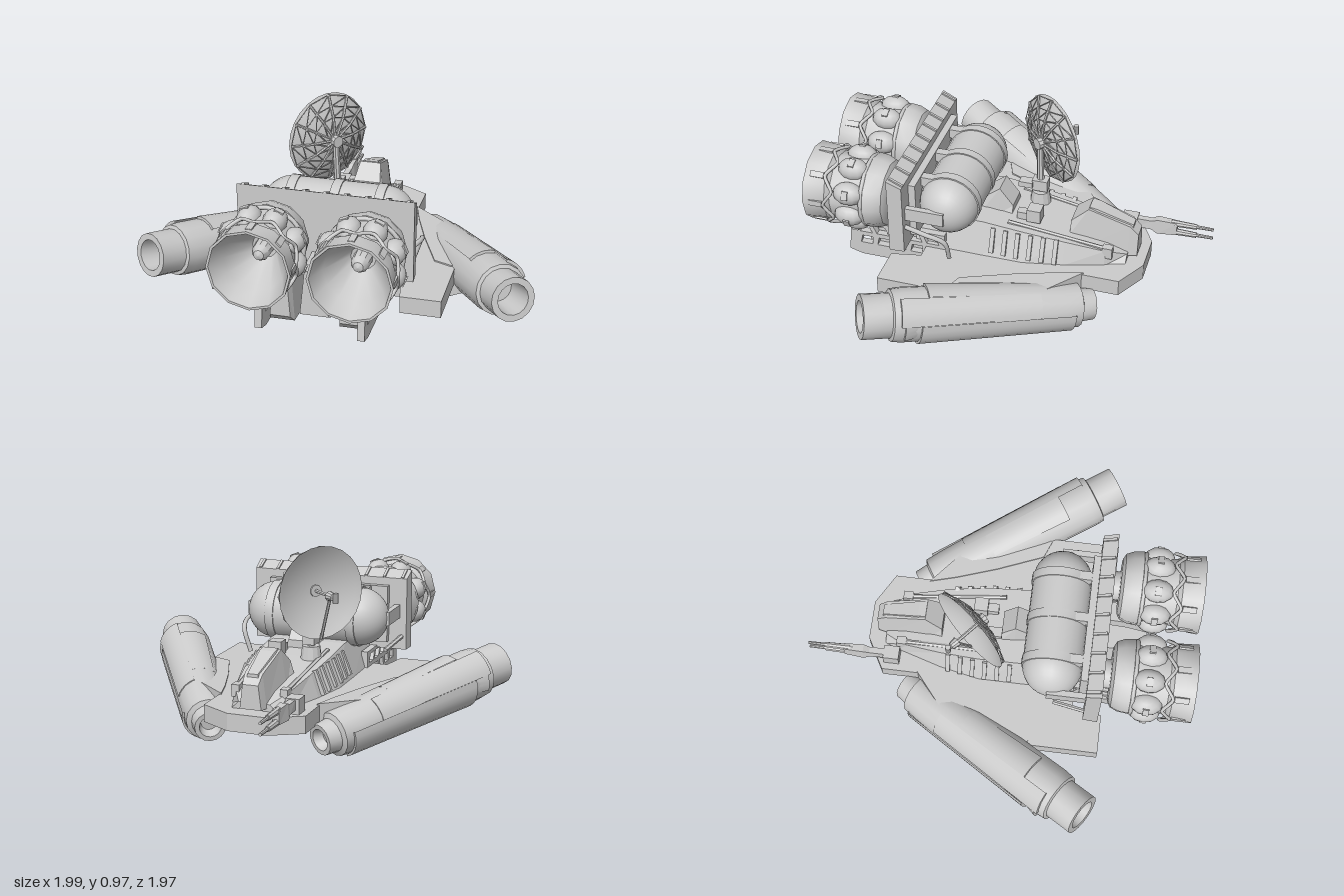
import * as THREE from 'three';
import { toCreasedNormals } from 'three/addons/utils/BufferGeometryUtils.js';

const flat = new THREE.MeshStandardMaterial({ color: 0xcccccc, flatShading: true, side: THREE.DoubleSide });
const smooth = new THREE.MeshStandardMaterial({ color: 0xcccccc, side: THREE.DoubleSide });
const V = (x, y, z) => new THREE.Vector3(x, y, z);

function add(parent, name, geo, mat = flat) {
  const mesh = new THREE.Mesh(geo, mat);
  mesh.name = name;
  parent.add(mesh);
  return mesh;
}
const box = (w, h, d, x, y, z) => new THREE.BoxGeometry(w, h, d).translate(x, y, z);
const tube = (pts, r, closed = false, n = 24) =>
  new THREE.TubeGeometry(new THREE.CatmullRomCurve3(pts, closed), n, r, 6, closed);

// Straight round bar between two points
function strut(a, b, r, r2 = r, sides = 6) {
  const d = b.clone().sub(a);
  const g = new THREE.CylinderGeometry(r2, r, d.length(), sides);
  g.applyQuaternion(new THREE.Quaternion().setFromUnitVectors(V(0, 1, 0), d.normalize()));
  return g.translate((a.x + b.x) / 2, (a.y + b.y) / 2, (a.z + b.z) / 2);
}

// Trapezoid hull along z; each section is [z, bottom half width, top half width, bottom y, top y]
function loft(sections, x = 0) {
  const n = sections.length - 1;
  const g = new THREE.BoxGeometry(1, 1, 1, 1, 1, n);
  const p = g.attributes.position;
  for (let i = 0; i < p.count; i++) {
    const [z, wb, wt, y0, y1] = sections[Math.round((p.getZ(i) + 0.5) * n)];
    const top = p.getY(i) > 0;
    p.setXYZ(i, x + Math.sign(p.getX(i)) * (top ? wt : wb), top ? y1 : y0, z);
  }
  g.computeVertexNormals();
  return g;
}

// Plan outline [x, z] raised from y0 to y1
function slab(pts, y0, y1) {
  const shape = new THREE.Shape(pts.map(([x, z]) => new THREE.Vector2(x, -z)));
  return new THREE.ExtrudeGeometry(shape, { depth: y1 - y0, bevelEnabled: false }).rotateX(-Math.PI / 2).translate(0, y0, 0);
}

// Turned profile [radius, z] around the z axis
function turned(pts, sides, start = 0, sweep = Math.PI * 2) {
  const g = new THREE.LatheGeometry(pts.map(([r, z]) => new THREE.Vector2(r, z)), sides, start, sweep);
  return toCreasedNormals(g.rotateX(Math.PI / 2), 0.6);
}

// Copy of a group reflected in x, with the winding put right
function mirrored(group) {
  const out = new THREE.Group();
  out.name = group.name + 'Right';
  group.updateMatrixWorld(true);
  group.traverse((o) => {
    if (!o.isMesh) return;
    let g = o.geometry.clone().applyMatrix4(o.matrixWorld).scale(-1, 1, 1);
    if (g.index) g = g.toNonIndexed();
    for (const a of Object.values(g.attributes)) {
      const s = a.itemSize;
      for (let t = 0; t < a.count; t += 3)
        for (let k = 0; k < s; k++) {
          const i = (t + 1) * s + k, j = i + s, v = a.array[i];
          a.array[i] = a.array[j];
          a.array[j] = v;
        }
    }
    add(out, o.name, g, o.material);
  });
  return out;
}

// Long side pod with armour and root fin
function makePod() {
  const pod = new THREE.Group();
  pod.name = 'sidePod';
  const barrel = new THREE.Group();
  barrel.position.set(0.285, 0.102, -0.475);
  barrel.lookAt(0.902, 0.29, 0.507);
  pod.add(barrel);
  add(barrel, 'podBody', turned([[0, 0.05], [0.04, 0.05], [0.055, 0], [0.078, 0], [0.085, 0.07], [0.11, 0.08], [0.117, 0.17],
    [0.127, 0.4], [0.132, 0.7], [0.133, 0.98], [0.128, 1.03], [0.11, 1.035], [0.11, 1.175], [0.078, 1.175], [0.068, 1.0], [0, 1.0]], 16), smooth);
  for (const [a, b, s0, s1] of [[0.3, 1.8, 0.12, 0.9], [1.8, 2.8, 0.3, 1.0], [1.2, 1.8, 0.9, 0.98], [2.8, 3.8, 0.42, 0.86]])
    add(barrel, 'podArmour', turned([[0.115, s0], [0.126, s0], [0.145, s1], [0.125, s1]], 6, a, b - a), smooth);
  add(pod, 'podFin', slab([[0.25, -0.42], [0.29, -0.28], [0.36, -0.08], [0.46, 0.16], [0.55, 0.195], [0.66, 0.1], [0.42, -0.28]], 0.09, 0.262));
  const bracket = add(pod, 'podBracket', box(0.2, 0.09, 0.3, 0, 0, 0));
  bracket.position.set(0.47, 0.14, 0.1);
  bracket.rotation.set(-0.1, 0.5, 0.15);
  return pod;
}

// Rocket engine with ring of spheres and open bell
function makeEngine() {
  const e = new THREE.Group();
  e.name = 'engine';
  e.position.set(0.235, 0.535, 0);
  add(e, 'engineNeck', turned([[0.075, 0.5], [0.075, 0.58]], 12), smooth);
  add(e, 'engineShell', turned([[0, 0.565], [0.14, 0.565], [0.168, 0.58], [0.185, 0.62], [0.19, 0.67], [0.17, 0.68], [0.17, 0.85], [0.19, 0.87],
    [0.2, 0.98], [0.188, 0.98], [0.15, 0.88], [0.06, 0.72], [0, 0.71]], 12), smooth);
  add(e, 'nozzleBulb', turned([[0.045, 0.72], [0.042, 0.79], [0.025, 0.82], [0, 0.83]], 10), smooth);
  for (let i = 0; i < 8; i++) {
    const a = (i + 0.5) * Math.PI / 4, c = Math.cos(a), s = Math.sin(a);
    add(e, 'engineSphere', new THREE.SphereGeometry(1, 12, 8).scale(0.058, 0.058, 0.08).translate(c * 0.162, s * 0.162, 0.75), smooth);
    add(e, 'sphereClamp', box(0.02, 0.045, 0.03, 0.212, 0, 0.75).rotateZ(a));
    add(e, 'nozzleRib', box(0.01, 0.03, 0.07, 0.193, 0, 0.915).rotateZ(a + Math.PI / 8));
  }
  const wave = [];
  for (let i = 0; i < 32; i++) {
    const a = i * Math.PI / 16;
    wave.push(V(Math.cos(a) * 0.195, Math.sin(a) * 0.195, 0.85 + 0.022 * Math.cos(a * 8)));
  }
  add(e, 'coolingPipe', tube(wave, 0.009, true, 96), smooth);
  add(e, 'engineBand', new THREE.TorusGeometry(0.178, 0.012, 6, 24).translate(0, 0, 0.68), smooth);
  return e;
}

// Dish antenna: local +z is the way it faces
function makeDish() {
  const d = new THREE.Group(), R = 0.232, N = 12;
  d.name = 'dishAntenna';
  d.position.set(-0.168, 0.74, -0.143);
  d.lookAt(-0.928, 0.74, -0.793);
  const depth = (r) => -0.06 + 0.06 * (r / R) ** 2;
  const bowl = [];
  for (let i = 0; i <= 8; i++) bowl.push([R * i / 8, depth(R * i / 8)]);
  add(d, 'dishBowl', turned(bowl, 24), smooth);
  const node = (r, k) => V(r * Math.cos(k * 2 * Math.PI / N), r * Math.sin(k * 2 * Math.PI / N), depth(r) - 0.012);
  for (let k = 0; k < N; k++) {
    add(d, 'dishRib', strut(node(0.02, k), node(0.12, k), 0.007));
    add(d, 'dishRib', strut(node(0.12, k), node(0.228, k), 0.007));
    for (const [r0, r1] of [[0.05, 0.12], [0.12, 0.175], [0.175, 0.228]]) {
      add(d, 'dishBrace', strut(node(r0, k), node(r1, k + 1), 0.003, 0.003, 4));
      add(d, 'dishBrace', strut(node(r1, k), node(r1, k + 1), 0.003, 0.003, 4));
    }
  }
  add(d, 'dishHub', strut(V(0, 0, -0.1), V(0, 0, -0.05), 0.03, 0.03, 10));
  add(d, 'feedArm', strut(V(0, 0, -0.06), V(0, 0, 0.13), 0.009));
  add(d, 'feedHead', strut(V(0, 0, 0.08), V(0, 0, 0.12), 0.025, 0.018, 10));
  add(d, 'feedTip', strut(V(0, -0.025, 0.14), V(0, 0.025, 0.14), 0.014, 0.014, 8));
  add(d, 'feedStay', strut(V(0, 0, 0.09), V(0, -R, 0), 0.008));
  return d;
}

export function createModel() {
  const ship = new THREE.Group();
  ship.name = 'ship';

  // Hull plate with a rear wing stub on each side
  const half = [[0.1, -0.69], [0.26, -0.6], [0.26, -0.4], [0.37, -0.1], [0.5, 0.16], [0.57, 0.18], [0.57, 0.55], [0.37, 0.55], [0.34, 0.4]];
  add(ship, 'hullPlate', slab([...half, ...half.map(([x, z]) => [-x, z]).reverse()], 0.168, 0.255));
  add(ship, 'upperHull', loft([[-0.6, 0.12, 0.08, 0.25, 0.29], [-0.5, 0.155, 0.14, 0.25, 0.33], [-0.3, 0.215, 0.175, 0.25, 0.37],
    [-0.1, 0.255, 0.195, 0.25, 0.4], [0.12, 0.255, 0.2, 0.25, 0.425], [0.46, 0.25, 0.2, 0.25, 0.42]]));
  add(ship, 'cockpit', loft([[-0.645, 0.055, 0.04, 0.27, 0.39], [-0.6, 0.065, 0.045, 0.27, 0.435], [-0.39, 0.085, 0.055, 0.3, 0.505],
    [-0.305, 0.09, 0.07, 0.36, 0.43]]));
  add(ship, 'canopy', loft([[-0.615, 0.034, 0.026, 0.4, 0.436], [-0.43, 0.045, 0.04, 0.48, 0.503], [-0.39, 0.045, 0.04, 0.47, 0.51]]));
  add(ship, 'rearHatch', loft([[0, 0.08, 0.06, 0.4, 0.45], [0.07, 0.08, 0.06, 0.4, 0.54], [0.16, 0.08, 0.06, 0.4, 0.47]]));
  add(ship, 'deckUnit', box(0.07, 0.07, 0.07, 0.075, 0.44, -0.12));
  add(ship, 'deckUnitFoot', box(0.045, 0.04, 0.12, 0.075, 0.425, -0.09));
  add(ship, 'keelBlock', loft([[0.35, 0.11, 0.07, 0.15, 0.43], [0.62, 0.1, 0.06, 0.15, 0.43], [0.73, 0.07, 0.045, 0.2, 0.43]]));

  // Parts present on both sides
  const side = new THREE.Group();
  side.name = 'sideParts';
  for (let i = 0; i < 6; i++) {
    const rib = add(side, 'hullRib', box(0.022, 0.13, 0.022, 0, 0, 0));
    rib.position.set(0.202 + 0.024 * Math.min(i, 3) / 3, 0.32 + i * 0.004, -0.26 + i * 0.064);
    rib.rotation.z = 0.38;
  }
  add(side, 'deckRail', strut(V(0.125, 0.335, -0.5), V(0.15, 0.415, 0), 0.012));
  add(side, 'railPost', box(0.04, 0.06, 0.05, 0.125, 0.32, -0.51));
  add(side, 'bellyStrip', box(0.035, 0.02, 0.4, 0.15, 0.162, 0));
  add(side, 'rearBlock', loft([[0.35, 0.06, 0.05, 0.12, 0.35], [0.68, 0.06, 0.05, 0.13, 0.33], [0.72, 0.05, 0.04, 0.17, 0.31]], 0.17));
  const frame = new THREE.Shape([[0.3, 0.13], [0.75, 0.13], [0.82, 0.15], [0.8, 0.34], [0.3, 0.34]].map((p) => new THREE.Vector2(...p)));
  for (let i = 0; i < 5; i++)
    for (const y of [0.205, 0.275]) {
      const z = 0.33 + i * 0.09, k = y > 0.25 ? 0.02 : -0.01;
      frame.holes.push(new THREE.Path([[z, y], [z + 0.065, y], [z + 0.065 + k, y + 0.045], [z + Math.max(k, 0), y + 0.045]].map((p) => new THREE.Vector2(...p))));
    }
  add(side, 'rearLattice', new THREE.ExtrudeGeometry(frame, { depth: 0.035, bevelEnabled: false }).rotateY(-Math.PI / 2).translate(0.265, 0, 0));
  add(side, 'tankBracket', box(0.03, 0.07, 0.2, 0.375, 0.535, 0.36));
  ship.add(side, mirrored(side));
  add(ship, 'fuelPipe', tube([V(0.37, 0.3, 0.24), V(0.41, 0.42, 0.25), V(0.425, 0.46, 0.34), V(0.39, 0.46, 0.46)], 0.012), smooth);
  add(ship, 'tankStay', strut(V(-0.36, 0.36, 0.3), V(-0.4, 0.4, 0.46), 0.012));

  const pod = makePod(), engine = makeEngine();
  ship.add(pod, mirrored(pod), engine, mirrored(engine));

  // Fuel tank with straps
  add(ship, 'fuelTank', new THREE.CapsuleGeometry(0.15, 0.46, 10, 24).rotateZ(Math.PI / 2).translate(0, 0.535, 0.275), smooth);
  for (const x of [-0.22, 0, 0.22]) {
    add(ship, 'tankStrap', toCreasedNormals(new THREE.CylinderGeometry(0.156, 0.156, 0.045, 24).rotateZ(Math.PI / 2).translate(x, 0.535, 0.275), 0.6), smooth);
    add(ship, 'strapMount', box(0.045, 0.05, 0.2, x, 0.64, 0.36));
  }

  // Engine bulkhead
  add(ship, 'bulkhead', loft([[0.455, 0.425, 0.425, 0.33, 0.71], [0.53, 0.43, 0.43, 0.33, 0.745]]));
  add(ship, 'bulkheadFlange', box(0.66, 0.3, 0.04, 0, 0.52, 0.44));
  for (let i = 0; i < 9; i++)
    add(ship, 'bulkheadRib', box(0.014, 0.016, 0.076, 0, 0, 0).rotateX(-0.43).translate(-0.4 + i * 0.1, 0.726, 0.49));

  // Dish and its mast
  ship.add(makeDish());
  add(ship, 'dishBase', strut(V(-0.1, 0.39, -0.1), V(-0.1, 0.46, -0.1), 0.055, 0.045, 12));
  add(ship, 'dishMast', strut(V(-0.1, 0.45, -0.1), V(-0.11, 0.75, -0.09), 0.02, 0.016, 8));
  add(ship, 'mastMotor', box(0.06, 0.06, 0.08, -0.1, 0.5, -0.1));
  add(ship, 'mastCounterweight', box(0.05, 0.03, 0.07, -0.08, 0.505, -0.03));

  // Nose gun
  const gun = new THREE.Group();
  gun.name = 'noseGun';
  gun.position.set(-0.19, 0.3, 0);
  add(gun, 'gunMount', box(0.07, 0.08, 0.08, 0, -0.01, -0.555));
  add(gun, 'gunBody', loft([[-0.8, 0.018, 0.016, -0.035, 0.035], [-0.7, 0.026, 0.02, -0.04, 0.04], [-0.67, 0.02, 0.016, -0.025, 0.025],
    [-0.59, 0.016, 0.016, -0.025, 0.025]]));
  for (const y of [-0.026, 0.026]) {
    add(gun, 'gunBarrel', strut(V(0, y, -0.75), V(0, y, -0.985), 0.012, 0.008, 8));
    add(gun, 'gunSleeve', strut(V(0, y, -0.77), V(0, y, -0.9), 0.018, 0.014, 8));
  }
  ship.add(gun);
  return ship;
}
